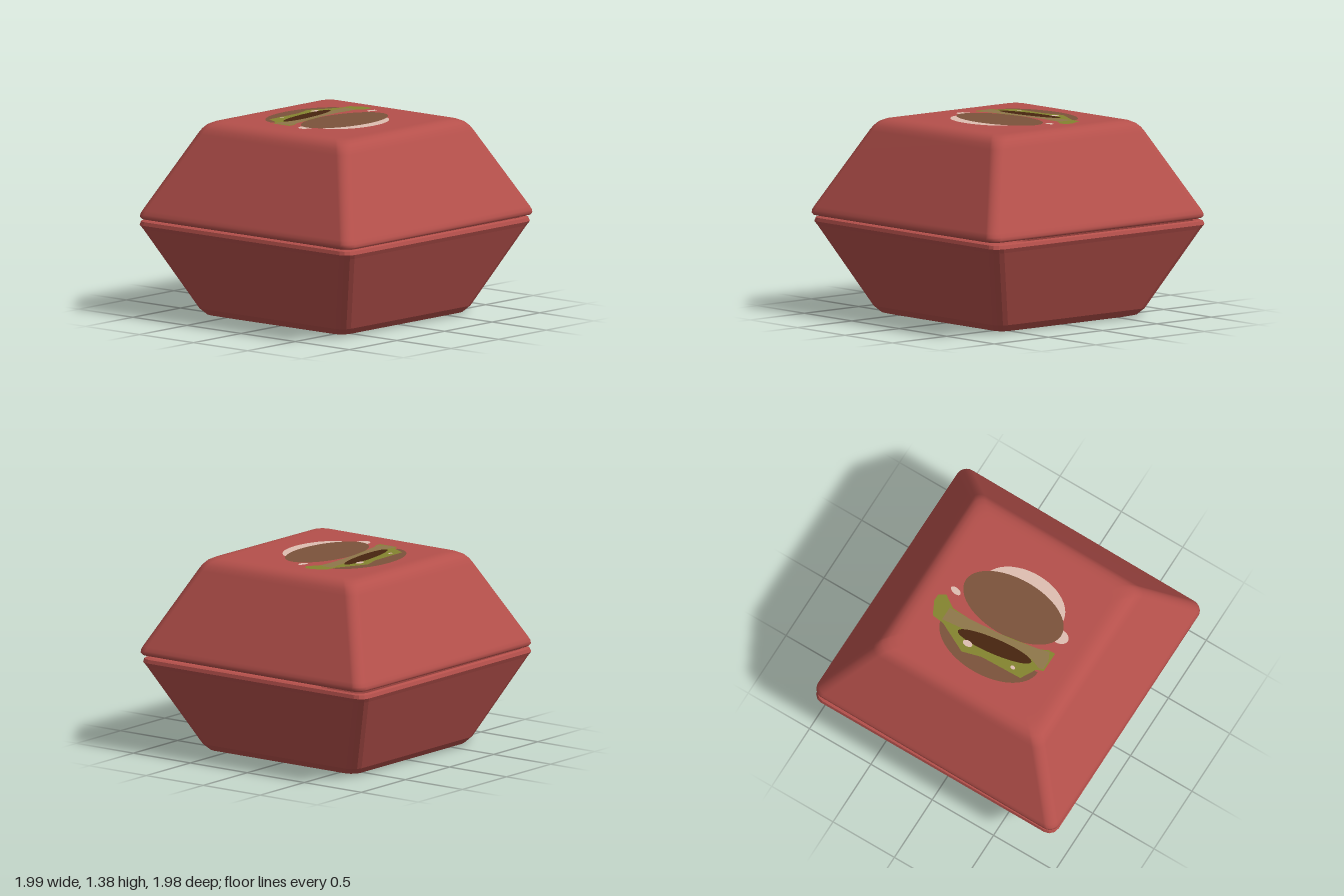
import * as THREE from 'three';

const mat = (name, color, side = THREE.FrontSide) => {
  const m = new THREE.MeshStandardMaterial({ color, side });
  m.name = name;
  return m;
};

// Rounded-square shell from a profile of [halfWidth, y] rows
function loft(profile, radius, segments) {
  const pos = [], index = [], n = 4 * (segments + 1);
  for (const [h, y] of profile) {
    const r = Math.min(radius, h);
    for (let c = 0; c < 4; c++) {
      const mid = (c + 0.5) * Math.PI / 2;
      const cx = Math.sign(Math.cos(mid)) * (h - r), cz = Math.sign(Math.sin(mid)) * (h - r);
      for (let s = 0; s <= segments; s++) {
        const a = (c + s / segments) * Math.PI / 2;
        pos.push(cx + r * Math.cos(a), y, cz + r * Math.sin(a));
      }
    }
  }
  for (let i = 0; i < profile.length - 1; i++) {
    for (let j = 0; j < n; j++) {
      const a = i * n + j, b = i * n + (j + 1) % n;
      index.push(a, a + n, b, b, a + n, b + n);
    }
  }
  const g = new THREE.BufferGeometry();
  g.setAttribute('position', new THREE.Float32BufferAttribute(pos, 3));
  g.setIndex(index);
  g.computeVertexNormals();
  return g;
}

// Painted outlines: an oval (or part of one), and a ribbon of [z, left, right] rows
function oval(x, z, rx, rz, tilt = 0, from = 0, to = Math.PI * 2) {
  return new THREE.Shape().absellipse(x, -z, rx, rz, from, to, false, tilt);
}
function ribbon(rows) {
  const left = rows.map(([z, x]) => new THREE.Vector2(x, -z));
  const right = rows.map(([z, , x]) => new THREE.Vector2(x, -z));
  return new THREE.Shape([...left, ...right.reverse()]);
}

export function createModel() {
  const red = mat('box red', 0xb5504b);
  const brown = mat('bun brown', 0x7c533b, THREE.DoubleSide);
  const green = mat('lettuce green', 0x84842f, THREE.DoubleSide);
  const olive = mat('cheese olive', 0x8f774a, THREE.DoubleSide);
  const dark = mat('patty dark brown', 0x47250f, THREE.DoubleSide);
  const cream = mat('highlight cream', 0xdfbfb2, THREE.DoubleSide);

  const box = new THREE.Group();
  box.name = 'foodBox';

  // Lower tray: faceted edges, hollow inside
  const trayShape = loft([
    [0, 0], [0.59, 0], [0.65, 0.015], [0.69, 0.06], [0.965, 0.62], [0.982, 0.65],
    [0.975, 0.675], [0.955, 0.683], [0.93, 0.675], [0.66, 0.08], [0.6, 0.05], [0, 0.05],
  ], 0.075, 3).toNonIndexed();
  trayShape.computeVertexNormals();
  const tray = new THREE.Mesh(trayShape, red);
  tray.name = 'tray';
  tray.position.x = -0.014;
  box.add(tray);

  // Upper lid: smooth edges, sitting slightly askew on the tray
  const lid = new THREE.Group();
  lid.name = 'lid';
  lid.rotation.set(0.003, -0.006, 0);
  const shell = new THREE.Mesh(loft([
    [0, 1.33], [0.6, 1.33], [0.93, 0.72], [0.94, 0.697], [0.96, 0.692],
    [0.978, 0.697], [0.986, 0.71], [0.984, 0.73], [0.972, 0.757], [0.7, 1.29],
    [0.68, 1.325], [0.655, 1.352], [0.62, 1.37], [0.58, 1.377], [0.54, 1.377], [0, 1.377],
  ], 0.075, 6), red);
  shell.name = 'lidShell';
  lid.add(shell);

  // Painted burger on the lid, each layer a hair above the last
  let level = 1.3785;
  const paint = (name, material, shape) => {
    const m = new THREE.Mesh(new THREE.ShapeGeometry(shape, 24).rotateX(-Math.PI / 2), material);
    m.name = name;
    m.position.y = level;
    level += 0.0006;
    lid.add(m);
  };
  paint('bunLeft', brown, oval(-0.24, 0, 0.228, 0.39, 0, Math.PI / 2, Math.PI * 1.5));
  paint('bunHighlight', cream, oval(0.16, 0.02, 0.21, 0.32));
  paint('sesameFront', cream, oval(0.065, 0.38, 0.05, 0.065));
  paint('bunRight', brown, oval(0.075, -0.005, 0.21, 0.39));
  paint('lettuce', green, ribbon([
    [-0.5, -0.17, -0.12], [-0.45, -0.27, -0.09], [-0.36, -0.28, -0.15], [-0.14, -0.39, -0.16],
    [0, -0.35, -0.14], [0.31, -0.34, -0.09], [0.37, -0.23, -0.06], [0.42, -0.21, -0.06],
  ]));
  paint('cheese', olive, ribbon([
    [-0.38, -0.26, -0.16], [-0.2, -0.24, -0.155], [0.1, -0.19, -0.13],
    [0.3, -0.18, -0.09], [0.38, -0.21, -0.07], [0.41, -0.2, -0.13],
  ]));
  paint('patty', dark, oval(-0.237, 0.035, 0.056, 0.28, 0.13));
  paint('sesameBack', cream, oval(-0.032, -0.41, 0.022, 0.042, -0.2));
  paint('glintBack', cream, oval(-0.318, -0.135, 0.022, 0.036));
  paint('glintFront', cream, oval(-0.302, 0.225, 0.013, 0.018));
  box.add(lid);
  return box;
}
